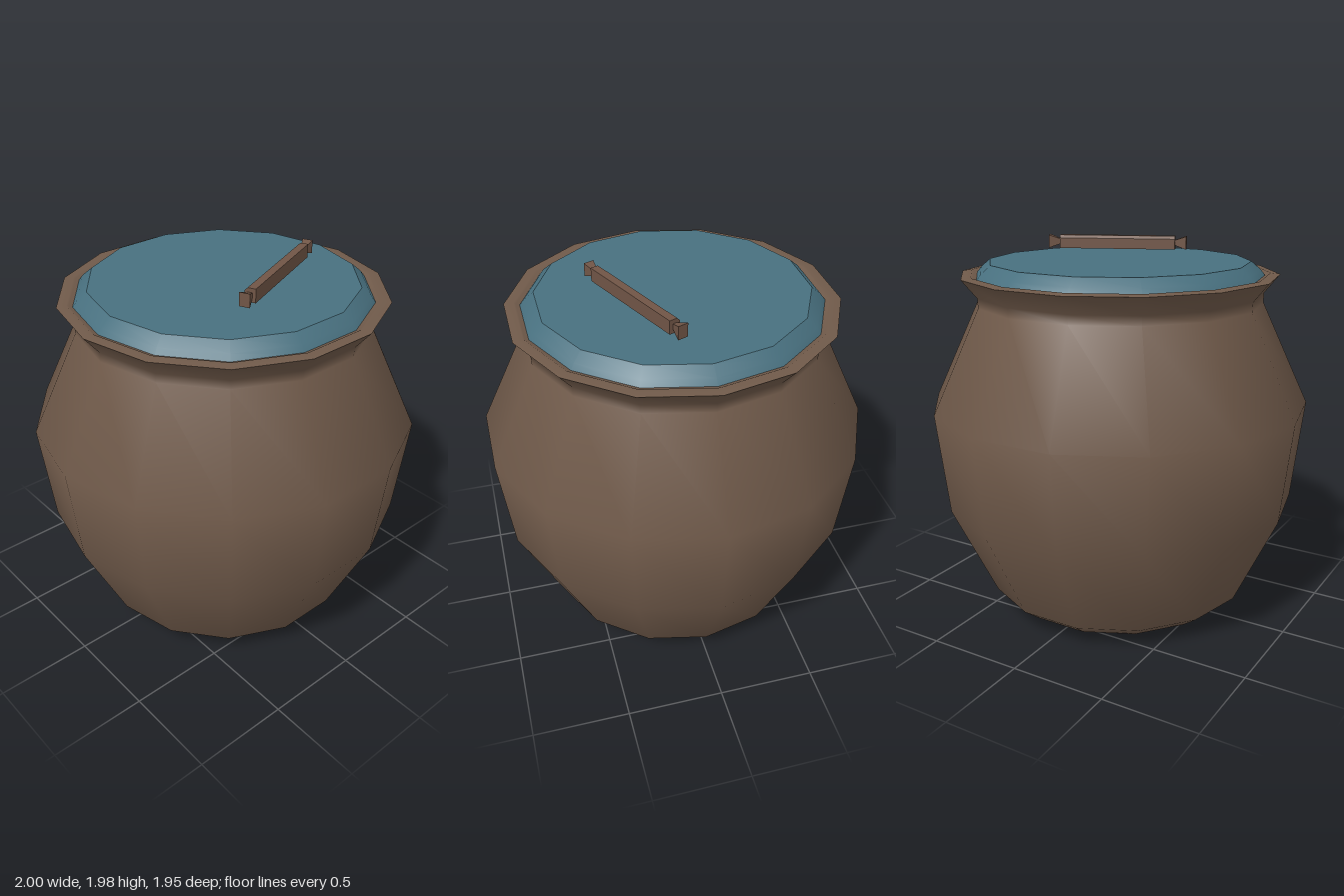
import * as THREE from 'three';

const SIDES = 14;

// Surface of revolution with a corner on the x axis
function turned(name, points, material) {
  const profile = points.map(([r, y]) => new THREE.Vector2(r, y));
  const mesh = new THREE.Mesh(new THREE.LatheGeometry(profile, SIDES, Math.PI / 2), material);
  mesh.name = name;
  return mesh;
}

export function createModel() {
  const clay = new THREE.MeshStandardMaterial({ color: 0x705a4a });
  clay.name = 'brown clay';
  const liquid = new THREE.MeshStandardMaterial({ color: 0x48707f });
  liquid.name = 'blue liquid';
  const wood = new THREE.MeshStandardMaterial({ color: 0x705546, flatShading: true });
  wood.name = 'brown wood';

  const model = new THREE.Group();
  model.name = 'pot';

  // Rounded body with a shallow pointed base, a neck and a flared lip
  model.add(turned('potBody', [
    [0, 0.005], [0.61, 0.045], [0.71, 0.12], [0.94, 0.61], [1, 1.14],
    [0.75, 1.67], [0.752, 1.72], [0.83, 1.815],
  ], clay));
  model.add(turned('potRim', [[0.83, 1.815], [0.78, 1.822], [0.77, 1.815], [0.72, 1.8]], clay));

  // Contents: bevelled edge and flat surface
  model.add(turned('liquidEdge', [[0.755, 1.805], [0.73, 1.838], [0.68, 1.88]], liquid));
  model.add(turned('liquidSurface', [[0.68, 1.88], [0, 1.88]], liquid));

  // Stick floating above the surface, with pinched and flared ends
  const stick = new THREE.Group();
  stick.name = 'stick';
  stick.position.set(0.148, 1.945, 0.23);
  stick.rotation.y = 0.395;

  const section = new THREE.Shape([
    [-0.028, -0.035], [0.028, -0.035], [0.028, 0.02], [0.014, 0.035], [-0.028, 0.035],
  ].map(([x, y]) => new THREE.Vector2(x, y)));
  const barGeometry = new THREE.ExtrudeGeometry(section, { depth: 0.63, bevelEnabled: false });
  barGeometry.translate(0, 0, -0.315).rotateY(Math.PI / 2);
  const bar = new THREE.Mesh(barGeometry, wood);
  bar.name = 'stickBar';
  stick.add(bar);

  for (const side of [-1, 1]) {
    const geometry = new THREE.CylinderGeometry(0.046, 0.018, 0.061, 4, 1);
    geometry.rotateY(Math.PI / 4).rotateZ(-side * Math.PI / 2);
    geometry.scale(1, 1.07, 0.85);
    const end = new THREE.Mesh(geometry, wood);
    end.name = side > 0 ? 'stickEndLeft' : 'stickEndRight';
    end.position.x = side * 0.3455;
    stick.add(end);
  }
  model.add(stick);
  return model;
}
